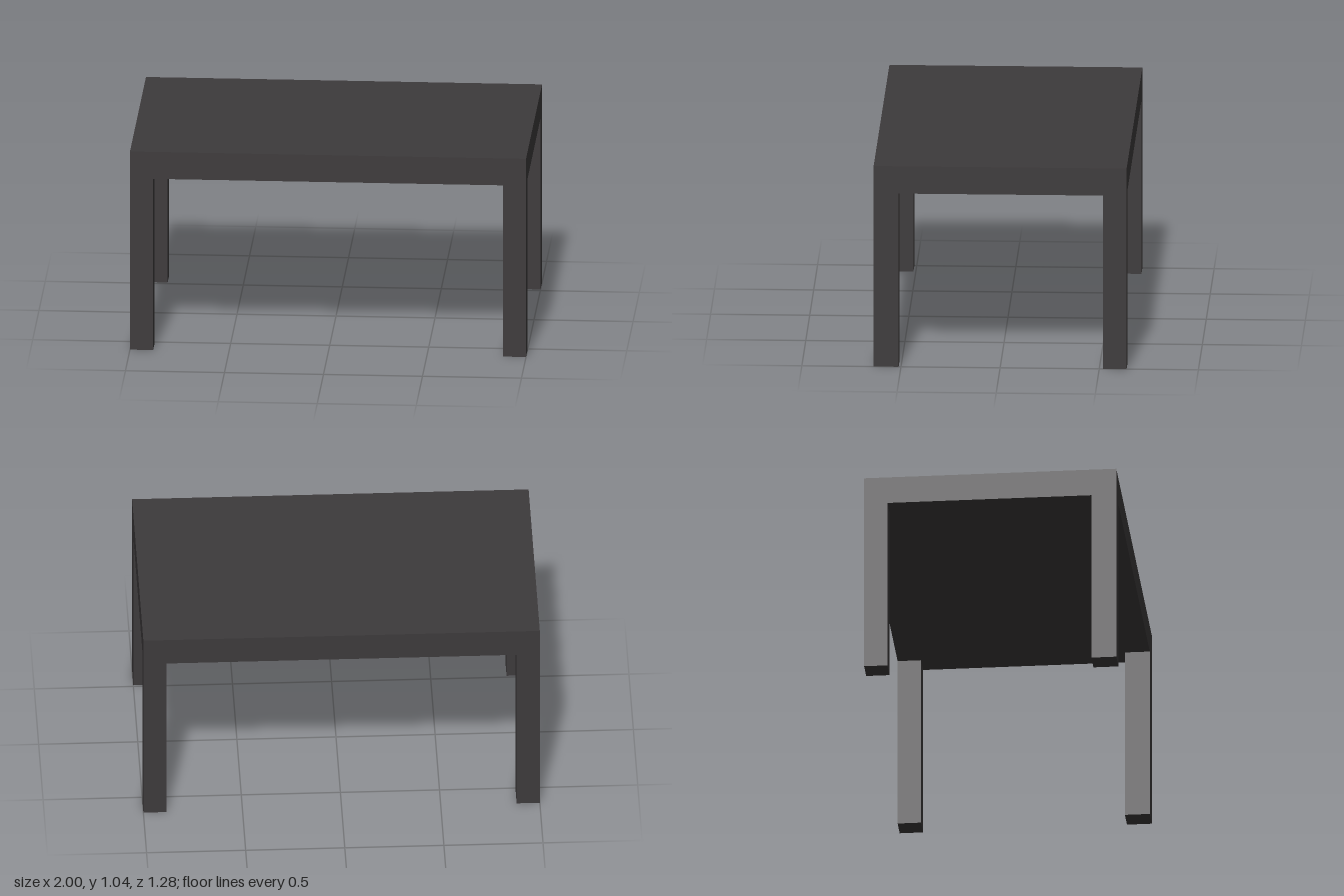
import * as THREE from 'three';

const HALF_X = 1, HALF_Z = 0.638;
const HEIGHT = 1.045, UNDERSIDE = 0.903;
const LEG_X = 0.117;

export function createModel() {
  const table = new THREE.Group();
  table.name = 'table';
  const material = new THREE.MeshStandardMaterial({ color: 0x3d3a3b });

  // Adds a box given by its lowest and highest corners
  const addBox = (name, min, max) => {
    const size = max.map((v, i) => v - min[i]);
    const mesh = new THREE.Mesh(new THREE.BoxGeometry(...size), material);
    mesh.position.set(...max.map((v, i) => (v + min[i]) / 2));
    mesh.name = name;
    table.add(mesh);
  };

  // Thick solid top
  addBox('tableTop', [-HALF_X, UNDERSIDE, -HALF_Z], [HALF_X, HEIGHT, HALF_Z]);

  // Square legs flush with the corners; the front pair is slightly deeper
  for (const [side, x] of [['Left', HALF_X - LEG_X], ['Right', -HALF_X]]) {
    addBox(`front${side}Leg`, [x, 0, 0.512], [x + LEG_X, UNDERSIDE, HALF_Z]);
    addBox(`back${side}Leg`, [x, 0, -HALF_Z], [x + LEG_X, UNDERSIDE, -0.52]);
  }
  return table;
}
